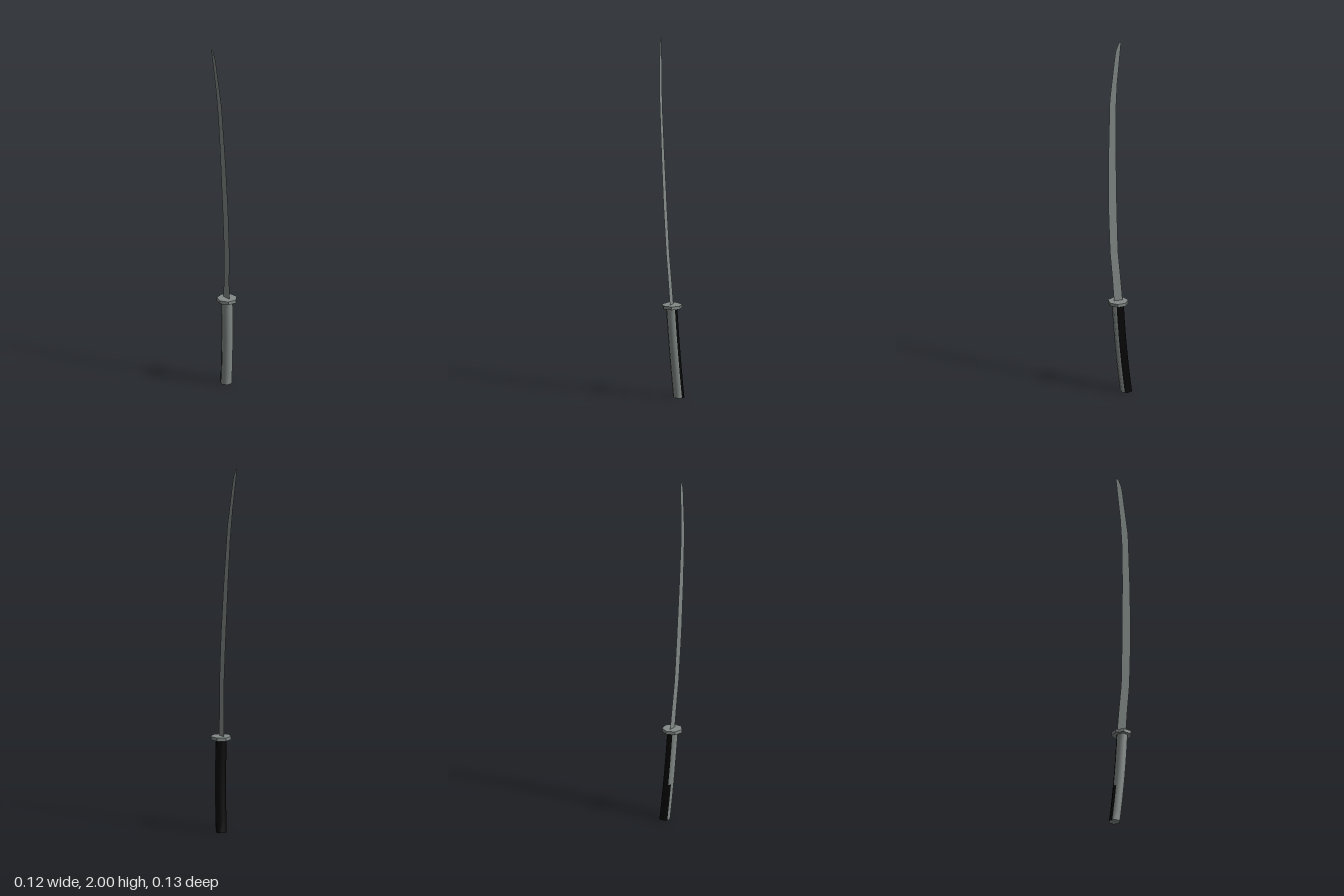
import * as THREE from 'three';

const steel = new THREE.MeshStandardMaterial({ color: 0x828a87, side: THREE.DoubleSide });
steel.name = 'steel grey';
const black = new THREE.MeshStandardMaterial({ color: 0x050505 });
black.name = 'grip black';

// The whole sword leans forward and its grip bends slightly
const leanZ = (y) => -0.036 + 0.0505 * y;
const gripX = (y) => -0.033 + 0.117 * y - 0.08 * y * y;

function named(name, geometry, material) {
  const mesh = new THREE.Mesh(geometry, material);
  mesh.name = name;
  return mesh;
}

// Curved six-sided grip, black on its back-left sides
function gripGeometry(radius, height, rows) {
  const sides = 12; // six corners and six face middles
  const positions = [];
  for (let i = 0; i <= rows; i++) {
    const y = (height * i) / rows;
    for (let j = 0; j < sides; j++) {
      const angle = ((j + 1) * Math.PI) / 6;
      const r = j % 2 ? radius * Math.cos(Math.PI / 6) : radius;
      positions.push(gripX(y) + r * Math.cos(angle), y, leanZ(y) + r * Math.sin(angle));
    }
  }
  const faces = [[], []];
  for (let i = 0; i < rows; i++) {
    for (let j = 0; j < sides; j++) {
      const a = i * sides + j;
      const b = i * sides + ((j + 1) % sides);
      const isBlack = (j >= 4 && j <= 8) || (j === 3 && i < rows * 0.4);
      faces[isBlack ? 1 : 0].push(a, a + sides, b, b, a + sides, b + sides);
    }
  }
  const geometry = new THREE.BufferGeometry();
  geometry.setAttribute('position', new THREE.Float32BufferAttribute(positions, 3));
  geometry.setIndex([...faces[0], ...faces[1]]);
  geometry.addGroup(0, faces[0].length, 0);
  geometry.addGroup(faces[0].length, faces[1].length, 1);
  geometry.computeVertexNormals();
  return geometry;
}

// Thin curved blade sheet, outlined up the back and down the edge
function bladeGeometry() {
  const outline = [
    [-0.022, 0.51], [-0.012, 0.65], [0, 0.8], [0.003, 1.05], [0.003, 1.4], [0, 1.6],
    [-0.01, 1.76], [-0.036, 2], [-0.02, 1.985], [-0.006, 1.95], [0, 1.92], [0.033, 1.67],
    [0.045, 1.35], [0.05, 1.07], [0.045, 0.8], [0.034, 0.65], [0.026, 0.51],
  ];
  const shape = new THREE.Shape(outline.map(([x, y]) => new THREE.Vector2(x, y)));
  const geometry = new THREE.ShapeGeometry(shape);
  const p = geometry.attributes.position;
  for (let i = 0; i < p.count; i++) p.setZ(i, leanZ(p.getY(i)));
  geometry.computeVertexNormals();
  return geometry;
}

export function createModel() {
  const sword = new THREE.Group();
  sword.name = 'sword';

  sword.add(named('blade', bladeGeometry(), steel));

  // Seven-sided guard
  const guardShape = new THREE.CylinderGeometry(0.056, 0.056, 0.018, 7, 1, false, THREE.MathUtils.degToRad(59)).toNonIndexed();
  guardShape.computeVertexNormals();
  const guard = named('guard', guardShape, steel);
  guard.position.set(0.005, 0.512, -0.012);
  sword.add(guard);

  sword.add(named('grip', gripGeometry(0.033, 0.51, 10), [steel, black]));

  // Flat end of the grip
  const pommel = named('pommelCap', new THREE.CircleGeometry(0.033, 6, Math.PI / 6).rotateX(Math.PI / 2), steel);
  pommel.position.set(gripX(0), 0, leanZ(0));
  sword.add(pommel);

  return sword;
}
